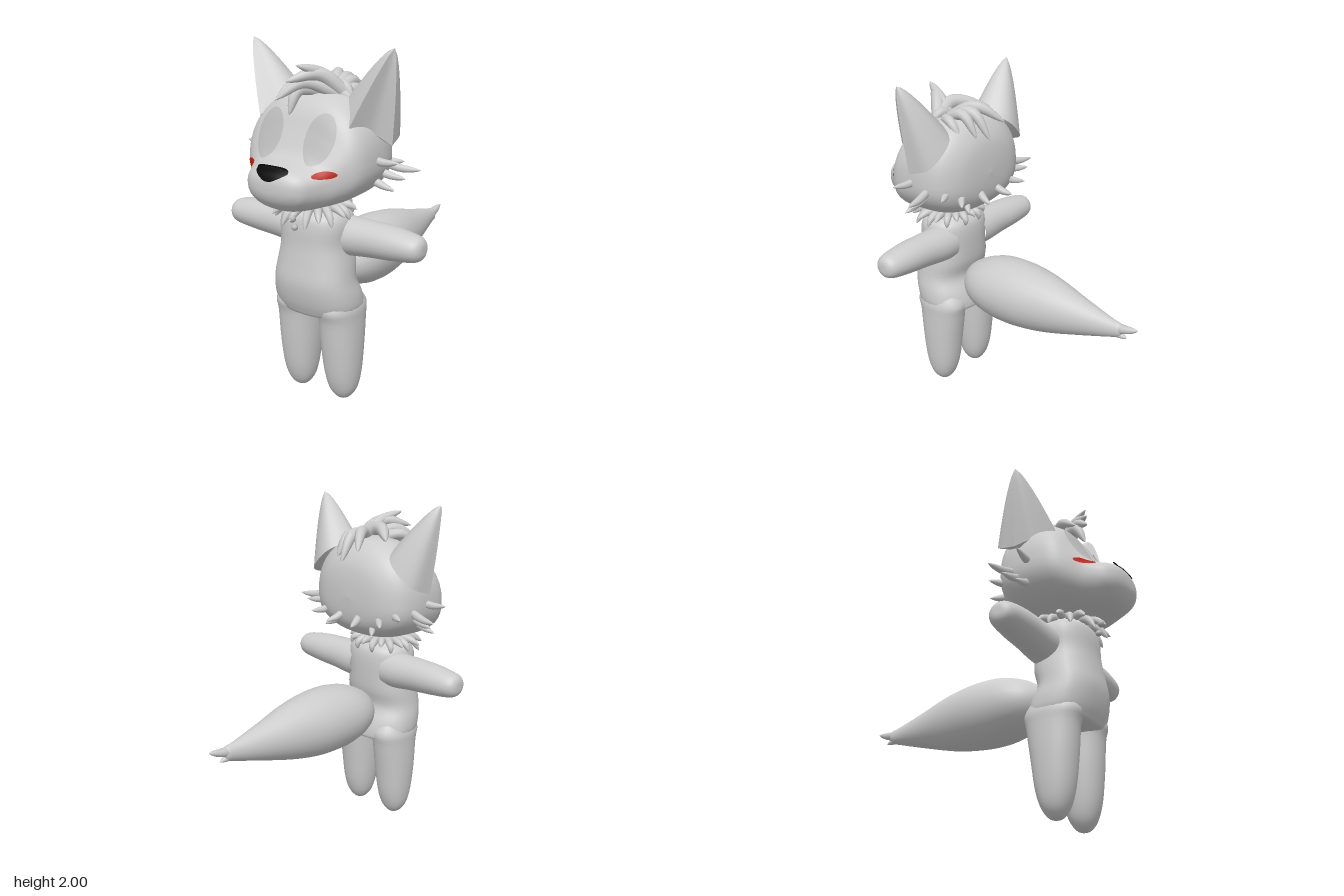
import * as THREE from 'three';
import { toCreasedNormals } from 'three/addons/utils/BufferGeometryUtils.js';

const mat = (name, color, extra = {}) => new THREE.MeshStandardMaterial({ name, color, ...extra });

// Skin a list of rings (each a closed loop of [x, y, z]) and face it outwards
function loft(rings) {
  const n = rings[0].length, pos = rings.flat(2), idx = [];
  for (let r = 0; r < rings.length - 1; r++)
    for (let i = 0; i < n; i++) {
      const j = (i + 1) % n, a = r * n + i, b = r * n + j, c = a + n, d = b + n;
      idx.push(a, b, c, b, d, c);
    }
  const v = (i) => new THREE.Vector3().fromArray(pos, i * 3).sub(new THREE.Vector3().fromArray(pos, 0));
  let volume = 0;
  for (let i = 0; i < idx.length; i += 3) volume += v(idx[i]).dot(v(idx[i + 1]).cross(v(idx[i + 2])));
  if (volume < 0) idx.reverse();
  const g = new THREE.BufferGeometry();
  g.setAttribute('position', new THREE.Float32BufferAttribute(pos, 3));
  g.setIndex(idx);
  g.computeVertexNormals();
  return g;
}

// Smooth lookup through the rows of a profile, by fractional row number
function profile(rows) {
  const spline = new THREE.CubicInterpolant(rows.map((_, i) => i), rows.flat(), rows[0].length);
  return (u) => Array.from(spline.evaluate(u));
}

// Rounded body from profile rows; point(row, c, s) places each point of a section
function rounded(rows, point, power = 2, sides = 28, steps = 4) {
  const at = profile(rows), rings = [], count = (rows.length - 1) * steps;
  const soft = (v) => Math.sign(v) * Math.abs(v) ** (2 / power);
  for (let k = 0; k <= count; k++) {
    const row = at(k / steps), ring = [];
    for (let i = 0; i < sides; i++) {
      const a = (i / sides) * Math.PI * 2;
      ring.push(point(row, soft(Math.cos(a)), soft(Math.sin(a))));
    }
    rings.push(ring);
  }
  return loft(rings);
}

// Pointed, curved tuft of fur
function tuft(points, radius, sides = 8, steps = 9) {
  const curve = new THREE.CatmullRomCurve3(points.map((p) => new THREE.Vector3(...p)));
  const { normals, binormals } = curve.computeFrenetFrames(steps);
  const rings = [];
  for (let k = 0; k <= steps; k++) {
    const t = k / steps, p = curve.getPointAt(t), r = radius * (1 - t) ** 0.75 * (0.7 + 1.1 * t);
    rings.push(Array.from({ length: sides }, (_, i) => {
      const a = (i / sides) * Math.PI * 2;
      return p.clone().addScaledVector(normals[k], r * Math.cos(a))
        .addScaledVector(binormals[k], r * Math.sin(a)).toArray();
    }));
  }
  return loft(rings);
}

// Head rows: z, half width, top, bottom, widest height
const HEAD = [
  [0.165, 0, 1.45, 1.45, 1.45], [0.175, 0.15, 1.57, 1.34, 1.44], [0.2, 0.25, 1.66, 1.27, 1.43],
  [0.26, 0.335, 1.74, 1.215, 1.42], [0.35, 0.37, 1.78, 1.185, 1.42], [0.45, 0.377, 1.775, 1.175, 1.42],
  [0.55, 0.37, 1.735, 1.17, 1.41], [0.61, 0.35, 1.67, 1.17, 1.4], [0.66, 0.31, 1.57, 1.17, 1.38],
  [0.72, 0.25, 1.465, 1.17, 1.345], [0.78, 0.21, 1.435, 1.18, 1.33], [0.83, 0.18, 1.42, 1.205, 1.32],
  [0.865, 0.135, 1.395, 1.24, 1.32], [0.883, 0.075, 1.36, 1.28, 1.32], [0.887, 0, 1.32, 1.32, 1.32],
];
const HEAD_POWER = 2.3;
const headAt = profile(HEAD);

// Depth of the face surface at (x, y)
function faceZ(x, y) {
  let lo = 5, hi = HEAD.length - 1;
  for (let k = 0; k < 30; k++) {
    const u = (lo + hi) / 2, [, w, top, bottom, mid] = headAt(u);
    const h = y > mid ? top - mid : mid - bottom;
    const d = Math.abs(x / w) ** HEAD_POWER + Math.abs((y - mid) / h) ** HEAD_POWER;
    if (d < 1) lo = u; else hi = u;
  }
  return headAt(lo)[0];
}

// Thin patch lying on the face; outline(a) gives its edge around (cx, cy)
function patch(cx, cy, outline, lift, minZ = 0) {
  const pos = [], idx = [], n = 36, m = 6;
  for (let r = 0; r <= m; r++)
    for (let i = 0; i < n; i++) {
      const [ox, oy] = outline((i / n) * Math.PI * 2);
      const x = cx + (ox * r) / m, y = cy + (oy * r) / m;
      pos.push(x, y, Math.max(faceZ(x, y), minZ) + lift);
      const j = (i + 1) % n, a = r * n;
      if (r < m) idx.push(a + i, a + n + i, a + n + j, a + i, a + n + j, a + j);
    }
  const g = new THREE.BufferGeometry();
  g.setAttribute('position', new THREE.Float32BufferAttribute(pos, 3));
  g.setIndex(idx);
  g.computeVertexNormals();
  return g;
}

// Hollow-fronted pointed ear: a creased loop drawn up to the tip
function ear(s) {
  const V = (x, y, z) => new THREE.Vector3(x * s, y, z);
  const front = V(0.29, 1.61, 0.59), outer = V(0.425, 1.5, 0.4);
  const shell = new THREE.CatmullRomCurve3([front, V(0.17, 1.73, 0.42), V(0.25, 1.68, 0.25), V(0.39, 1.55, 0.27), outer]);
  const centre = V(0.31, 1.61, 0.405), tip = V(0.455, 2, 0.43);
  const loop = shell.getPoints(20);
  for (let i = 1; i < 6; i++)
    loop.push(outer.clone().lerp(front, i / 6).lerp(centre, 0.3 * Math.sin((i / 6) * Math.PI)));
  const rings = [];
  for (let k = 0; k <= 12; k++) {
    const t = k / 12, axis = tip.clone().lerp(centre, t);
    rings.push(loop.map((p) => axis.clone().addScaledVector(p.clone().sub(centre), t ** 0.75).toArray()));
  }
  rings.push(loop.map(() => [0.26 * s, 1.56, 0.4]));
  return toCreasedNormals(loft(rings), 0.7);
}

export function createModel() {
  const fur = mat('fur grey', 0xcccccc);
  const eyeGrey = mat('eye grey', 0xbababa, { side: THREE.DoubleSide });
  const black = mat('nose black', 0x0a0a0a, { side: THREE.DoubleSide });
  const red = mat('cheek red', 0xc01c08, { side: THREE.DoubleSide });
  const model = new THREE.Group();
  const add = (name, geometry, material = fur) => {
    const mesh = new THREE.Mesh(geometry, material);
    mesh.name = name;
    model.add(mesh);
    return mesh;
  };

  // Head and torso
  add('head', rounded(HEAD, ([z, w, top, bottom, mid], c, s) =>
    [w * c, mid + s * (s > 0 ? top - mid : mid - bottom), z], HEAD_POWER, 48));
  add('torso', rounded([ // y, half width, centre z, half depth
    [1.2, 0.12, 0.48, 0.11], [1.14, 0.14, 0.48, 0.12], [1.1, 0.19, 0.48, 0.155], [1.04, 0.207, 0.48, 0.168],
    [0.94, 0.203, 0.482, 0.17], [0.84, 0.22, 0.492, 0.173], [0.74, 0.235, 0.51, 0.168], [0.65, 0.253, 0.485, 0.182],
    [0.57, 0.25, 0.463, 0.178], [0.53, 0.2, 0.455, 0.15], [0.515, 0, 0.455, 0],
  ], ([y, w, cz, d], c, s) => [w * c, y, cz + d * s], 2.4));

  // Tail with a forked tip
  add('tail', rounded([ // z, half width, centre y, half height
    [0.345, 0, 0.74, 0], [0.325, 0.07, 0.74, 0.065], [0.26, 0.145, 0.735, 0.125], [0.16, 0.188, 0.735, 0.17],
    [0.04, 0.2, 0.735, 0.194], [-0.12, 0.192, 0.735, 0.194], [-0.3, 0.155, 0.735, 0.167],
    [-0.5, 0.1, 0.735, 0.113], [-0.7, 0.045, 0.74, 0.058], [-0.77, 0.028, 0.745, 0.038], [-0.79, 0, 0.745, 0],
  ], ([z, w, cy, h], c, s) => [w * c, cy + h * s, z]));
  add('tailTip', tuft([[0, 0.75, -0.68], [0, 0.758, -0.79], [0, 0.782, -0.885]], 0.036));
  add('tailTip', tuft([[0, 0.728, -0.68], [0, 0.718, -0.76], [0, 0.708, -0.815]], 0.03));

  // Paired parts
  const cheekTufts = [[0.54, 1.365, 0.3], [0.5, 1.43, 0.46], [0.455, 1.27, 0.42], [0.48, 1.32, 0.35],
    [0.38, 1.37, 0.2], [0.28, 1.32, 0.14], [0.19, 1.25, 0.17], [0.1, 1.3, 0.09]];
  for (const s of [1, -1]) {
    const side = s > 0 ? 'left' : 'right';
    add(side + 'Arm', rounded([ // x, centre y, half height, half depth
      [0.12, 0.98, 0.11, 0.11], [0.2, 0.98, 0.108, 0.11], [0.32, 0.985, 0.1, 0.102], [0.45, 0.987, 0.092, 0.098],
      [0.57, 0.985, 0.077, 0.085], [0.62, 0.985, 0.062, 0.066], [0.64, 0.985, 0.035, 0.035], [0.643, 0.985, 0, 0],
    ], ([x, cy, h, d], c, t) => [x * s, cy + h * c, 0.43 + d * t]));
    add(side + 'Leg', rounded([ // y, centre x, half width, centre z, half depth
      [0, 0.148, 0, 0.46, 0], [0.015, 0.148, 0.04, 0.46, 0.04], [0.07, 0.148, 0.078, 0.46, 0.077],
      [0.17, 0.147, 0.1, 0.46, 0.106], [0.33, 0.145, 0.112, 0.46, 0.128], [0.5, 0.143, 0.114, 0.456, 0.15],
      [0.58, 0.142, 0.112, 0.46, 0.165], [0.66, 0.14, 0.08, 0.465, 0.12],
    ], ([y, cx, w, cz, d], c, t) => [(cx + w * c) * s, y, cz + d * t], 2.2));
    add(side + 'Ear', ear(s));
    add(side + 'Eye', patch(s * 0.16, 1.55, (a) => [0.085 * Math.cos(a), 0.122 * Math.sin(a)], 0.004), eyeGrey);
    add(side + 'CheekMark', patch(s * 0.24, 1.39, (a) => [0.048 * Math.cos(a), 0.019 * Math.sin(a)], 0.008), red);
    for (const [x, y, z] of cheekTufts) {
      const tip = new THREE.Vector3(x, y, z), root = tip.clone().lerp(new THREE.Vector3(0, 1.44, 0.42), 0.4);
      const mid = tip.clone().lerp(root, 0.5).add(new THREE.Vector3(0, -0.012, 0));
      add(side + 'CheekTuft', tuft([root, mid, tip].map((p) => [p.x * s, p.y, p.z]), 0.03));
    }
  }

  // Nose: wide on top, narrow below
  add('nose', patch(0, 1.4, (a) => {
    const y = Math.sin(a), wide = y > 0 ? 0.1 : 0.1 + 0.065 * y;
    return [wide * Math.sign(Math.cos(a)) * Math.abs(Math.cos(a)) ** 0.5, y > 0 ? 0.03 * y ** 0.5 : 0.042 * y];
  }, 0.006, 0.832), black);

  // Swept hair on top of the head: root, bend, tip, radius
  const hair = [
    [[0.08, 1.75, 0.4], [0.06, 1.85, 0.5], [0, 1.905, 0.64], 0.042],
    [[0.16, 1.74, 0.42], [0.06, 1.85, 0.52], [-0.05, 1.82, 0.67], 0.05],
    [[0.13, 1.74, 0.44], [0, 1.81, 0.57], [-0.09, 1.73, 0.69], 0.045],
    [[0.05, 1.75, 0.45], [-0.03, 1.77, 0.58], [-0.045, 1.645, 0.65], 0.045],
    [[0.02, 1.75, 0.44], [-0.09, 1.79, 0.52], [-0.145, 1.71, 0.64], 0.04],
    [[0.19, 1.72, 0.42], [0.02, 1.82, 0.45], [-0.165, 1.78, 0.31], 0.055],
    [[0.07, 1.75, 0.42], [0, 1.82, 0.28], [-0.1, 1.73, 0.14], 0.045],
    [[0.08, 1.75, 0.42], [0.05, 1.8, 0.26], [0.03, 1.65, 0.14], 0.045],
    [[0.1, 1.75, 0.42], [0.1, 1.79, 0.28], [0.1, 1.67, 0.18], 0.042],
    [[0.12, 1.75, 0.42], [0.16, 1.76, 0.33], [0.16, 1.66, 0.24], 0.038],
    [[0.05, 1.75, 0.42], [0.14, 1.79, 0.42], [0.21, 1.73, 0.44], 0.04],
  ];
  for (const [root, bend, tip, r] of hair) add('hairTuft', tuft([root, bend, tip], r, 10, 12));

  // Ruff of tufts around the neck, longer and lower at the front
  for (let i = 0; i < 20; i++) {
    const a = (i / 20) * Math.PI * 2, sx = Math.sin(a), cz = Math.cos(a), low = i % 2;
    const reach = 0.215 + 0.03 * cz - 0.02 * low, drop = 1.13 - 0.045 * low - 0.03 * Math.max(cz, 0);
    const at = (r, y) => [sx * r * 1.12, y, 0.485 + cz * r];
    add('ruffTuft', tuft([at(0.1, 1.16), at(0.17, 1.15 - 0.02 * low), at(reach, drop)], 0.03));
  }

  // Small hanging bell
  for (const [y, z, r] of [[1.115, 0.7, 0.022], [1.06, 0.68, 0.018]])
    add('bell', new THREE.SphereGeometry(r, 14, 10), eyeGrey).position.set(0, y, z);

  return model;
}
